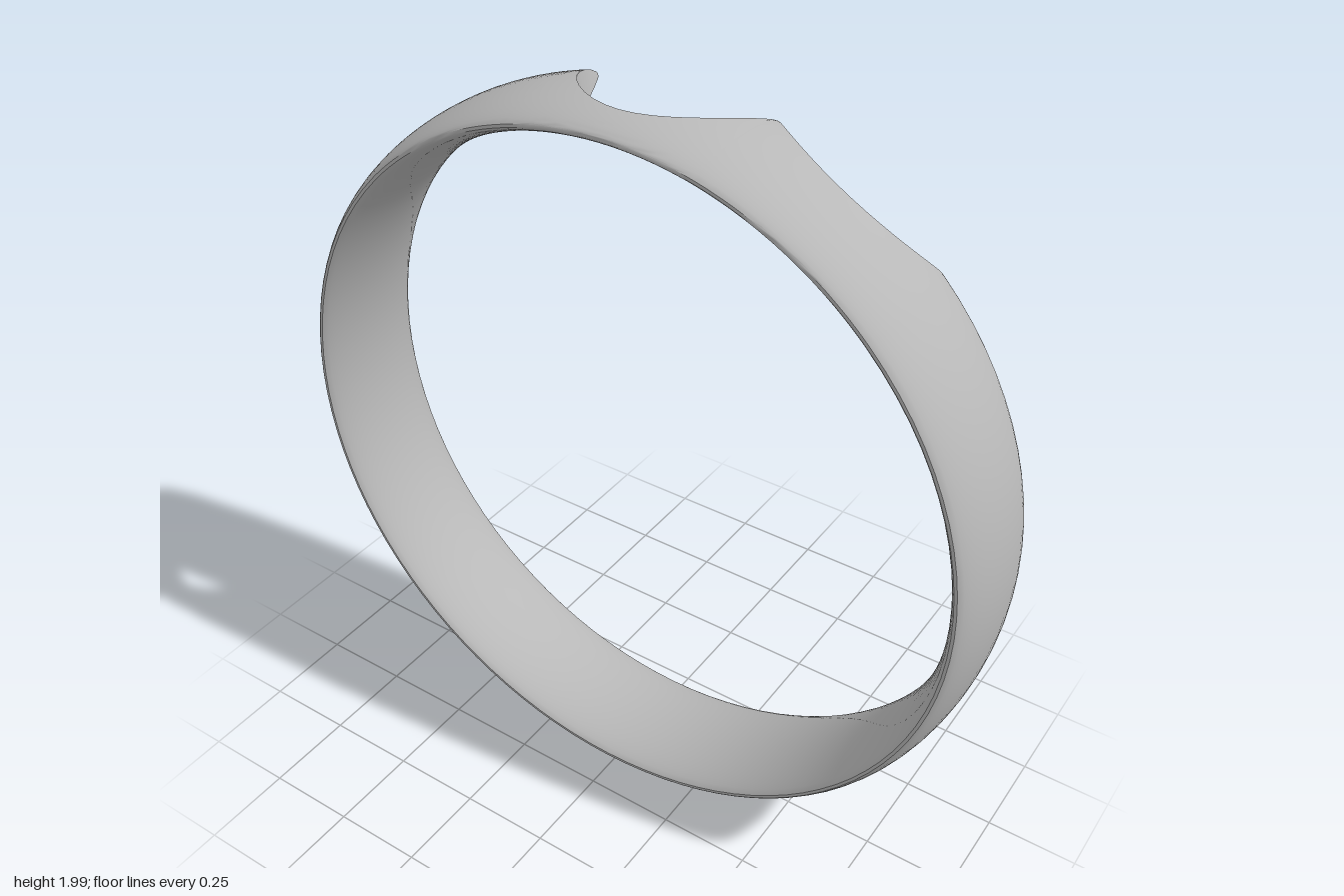
import * as THREE from 'three';
import { toCreasedNormals } from 'three/addons/utils/BufferGeometryUtils.js';

const HALF_WIDTH = 0.175;  // half the band width along z
const MID_RADIUS = 0.955;  // radius of the band's thin rims
const CUT = Math.PI / 12;  // half the angle of one scallop
const STEPS = 16;          // points across the band

// half thickness of the oval section at depth z
function halfThickness(z) {
  const w = z / HALF_WIDTH;
  return 0.004 + 0.041 * Math.pow(Math.max(0, 1 - w * w), 0.7);
}

// angle and back edge of every cross-section around the band
function crossSections() {
  const list = [];
  const scallops = [
    { centre: -2 * CUT, depth: 0.12, power: 0.8 },
    { centre: 0, depth: 0.265, power: 0.65 },
    { centre: 2 * CUT, depth: 0.12, power: 0.8 },
  ];
  for (const { centre, depth, power } of scallops) {
    for (let k = 0; k < 20; k++) {
      const u = -Math.cos((Math.PI * k) / 20);
      const bite = depth * Math.pow(Math.max(0, 1 - u * u), power);
      list.push({ angle: centre + u * CUT, back: -HALF_WIDTH + bite });
    }
  }
  // plain part of the band
  const start = 3 * CUT, sweep = 2 * Math.PI - 6 * CUT;
  for (let k = 0; k < 72; k++) {
    list.push({ angle: start + (sweep * k) / 72, back: -HALF_WIDTH });
  }
  return list;
}

function bandGeometry() {
  const sections = crossSections();
  const loop = 2 * (STEPS + 1);
  const positions = [], index = [];
  for (const { angle, back } of sections) {
    for (let j = 0; j < loop; j++) {
      // outer face from back to front, then inner face from front to back
      const outer = j <= STEPS;
      const k = outer ? j : loop - 1 - j;
      const t = (1 - Math.cos((Math.PI * k) / STEPS)) / 2;
      const z = back + (HALF_WIDTH - back) * t;
      const r = MID_RADIUS + (outer ? 1 : -1) * halfThickness(z);
      positions.push(r * Math.sin(angle), 1 + r * Math.cos(angle), z);
    }
  }
  for (let i = 0; i < sections.length; i++) {
    const next = (i + 1) % sections.length;
    for (let j = 0; j < loop; j++) {
      const j2 = (j + 1) % loop;
      const a = i * loop + j, b = i * loop + j2;
      const c = next * loop + j2, d = next * loop + j;
      index.push(a, b, d, b, c, d);
    }
  }
  const geometry = new THREE.BufferGeometry();
  geometry.setAttribute('position', new THREE.Float32BufferAttribute(positions, 3));
  geometry.setIndex(index);
  return toCreasedNormals(geometry, Math.PI / 5);
}

export function createModel() {
  const metal = new THREE.MeshStandardMaterial({ color: 0xb8b8b8 });
  metal.name = 'grey metal';
  const band = new THREE.Mesh(bandGeometry(), metal);
  band.name = 'scallopedBand';
  const group = new THREE.Group();
  group.name = 'ring';
  group.add(band);
  return group;
}
